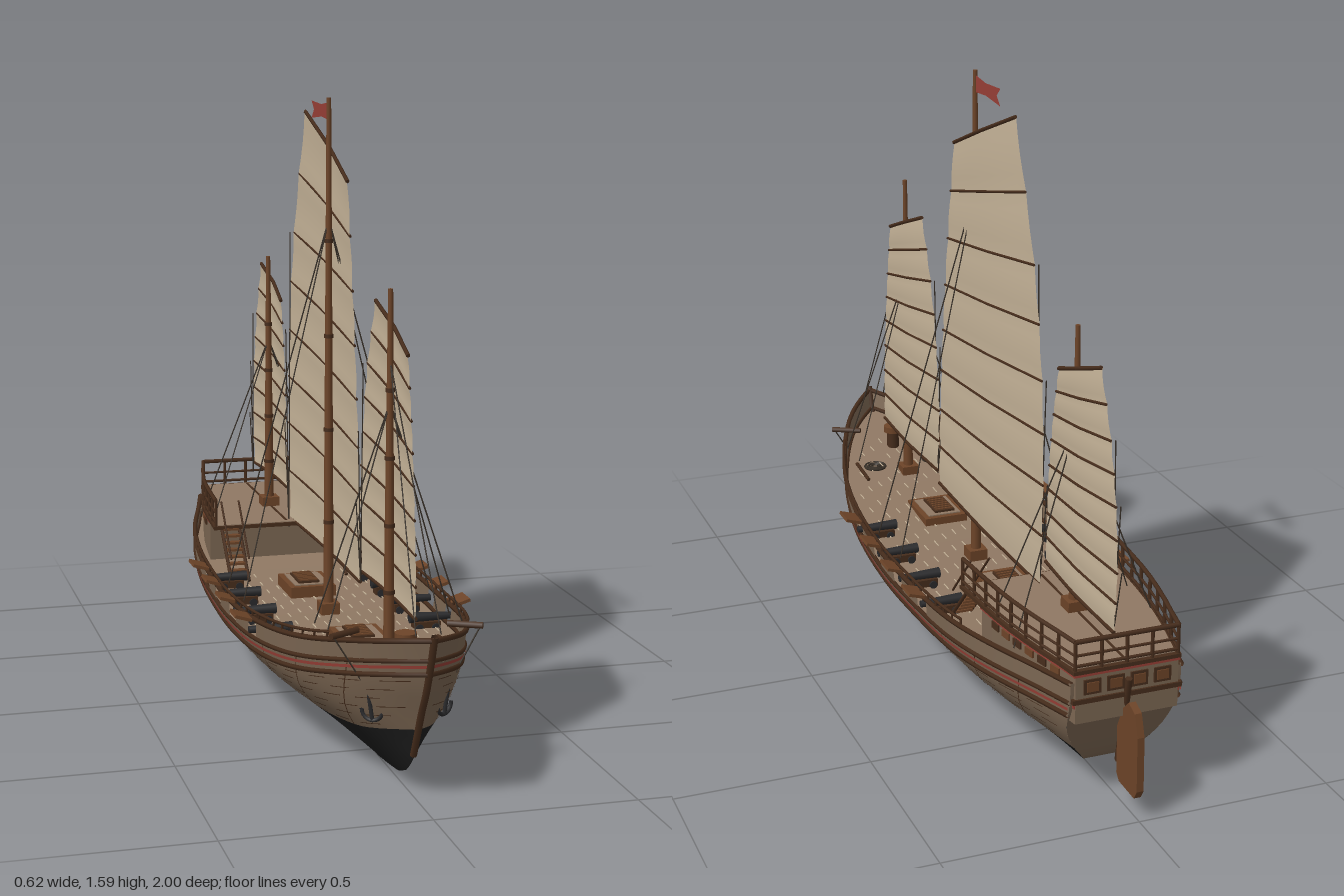
import * as THREE from 'three';

const D = THREE.DoubleSide;
const mat = (name, color) => {
  const m = new THREE.MeshStandardMaterial({ color, side: D });
  m.name = name;
  return m;
};
const M = {
  hull: mat('weathered planking', 0x7b6652), deck: mat('deck planking', 0x8f7863),
  dark: mat('dark timber', 0x472d1c), brown: mat('brown timber', 0x6d4428),
  tar: mat('tarred bottom', 0x1d1d1d), sail: mat('sail cloth', 0xc4b297),
  red: mat('red paint', 0x983f36), rope: mat('rope', 0x383028), iron: mat('iron', 0x2a2a2c),
};

// Smooth interpolation through [key, value] pairs
const curve = (...p) => (t) => {
  let i = 0;
  while (i < p.length - 2 && t > p[i + 1][0]) i++;
  const slope = (k) => {
    const a = p[Math.max(k - 1, 0)], b = p[Math.min(k + 1, p.length - 1)];
    return (b[1] - a[1]) / (b[0] - a[0]);
  };
  const [x0, y0] = p[i], [x1, y1] = p[i + 1], h = x1 - x0;
  const s = THREE.MathUtils.clamp((t - x0) / h, 0, 1), s2 = s * s, s3 = s2 * s;
  return (2 * s3 - 3 * s2 + 1) * y0 + (s3 - 2 * s2 + s) * h * slope(i)
    + (3 * s2 - 2 * s3) * y1 + (s3 - s2) * h * slope(i + 1);
};

// Hull lines: u runs 0 (stern) to 1 (bow), y is height
const stemZ = curve([0, 0.55], [0.02, 0.72], [0.07, 0.82], [0.15, 0.87], [0.22, 0.905], [0.3, 0.95], [0.43, 1]);
const sternZ = curve([0, -0.4], [0.02, -0.63], [0.07, -0.79], [0.13, -0.84], [0.2, -0.872], [0.28, -0.905], [0.4, -0.912]);
const beam = curve([0, 0.142], [0.06, 0.17], [0.166, 0.222], [0.273, 0.252], [0.43, 0.27], [0.54, 0.272],
  [0.7, 0.25], [0.807, 0.207], [0.914, 0.127], [0.97, 0.055], [1, 0]);
const section = curve([0, 0], [0.035, 0.2], [0.095, 0.5], [0.15, 0.78], [0.2, 0.94], [0.26, 1], [0.34, 1], [0.45, 1]);
const sheer = curve([0, 0.345], [0.15, 0.325], [0.3, 0.3], [0.45, 0.295], [0.6, 0.297], [0.7, 0.31], [0.807, 0.335], [0.914, 0.38], [1, 0.42]);
const water = curve([0, 0.135], [0.2, 0.115], [0.7, 0.115], [0.9, 0.135], [1, 0.175]);
const below = (d) => (u) => sheer(u) - d;
const deckY = below(0.06);
const uAt = (z, y) => (z - sternZ(y)) / (stemZ(y) - sternZ(y));
const P = (u, y, side, off = 0) => new THREE.Vector3(
  side * (beam(u) * section(y) + off), y, THREE.MathUtils.lerp(sternZ(y), stemZ(y), u));

// Surface from a grid of points
function grid(fn, nu, nv, flip) {
  const pos = [], idx = [];
  for (let i = 0; i <= nu; i++) for (let j = 0; j <= nv; j++) pos.push(...fn(i / nu, j / nv).toArray());
  for (let i = 0; i < nu; i++) for (let j = 0; j < nv; j++) {
    const a = i * (nv + 1) + j, b = a + 1, c = a + nv + 1, d = c + 1;
    if (flip) idx.push(a, b, c, b, d, c); else idx.push(a, c, b, b, c, d);
  }
  const g = new THREE.BufferGeometry();
  g.setAttribute('position', new THREE.Float32BufferAttribute(pos, 3));
  g.setIndex(idx);
  g.computeVertexNormals();
  return g;
}

export function createModel() {
  const root = new THREE.Group();
  root.name = 'junkShip';
  const add = (name, geo, m, x = 0, y = 0, z = 0) => {
    const o = new THREE.Mesh(geo, m);
    o.name = name;
    o.position.set(x, y, z);
    root.add(o);
    return o;
  };
  const box = (name, w, h, d, m, x, y, z) => add(name, new THREE.BoxGeometry(w, h, d), m, x, y, z);
  const V = (x, y, z) => new THREE.Vector3(x, y, z);
  const rod = (name, a, b, r, m, r2 = r, n = 6) => {
    const o = add(name, new THREE.CylinderGeometry(r2, r, a.distanceTo(b), n), m);
    o.position.copy(a).lerp(b, 0.5);
    o.quaternion.setFromUnitVectors(V(0, 1, 0), b.clone().sub(a).normalize());
    return o;
  };
  const band = (name, lo, hi, m, side, u0 = 0, u1 = 1, nu = 60, nv = 1, off = 0) =>
    add(name, grid((a, b) => {
      const u = u0 + (u1 - u0) * a;
      return P(u, lo(u) + (hi(u) - lo(u)) * b, side, off);
    }, nu, nv, side > 0), m);
  const rail = (name, yf, r, m, side, u0 = 0, u1 = 1, off = 0) => {
    const pts = Array.from({ length: 31 }, (_, i) => u0 + (u1 - u0) * i / 30).map((u) => P(u, yf(u), side, off));
    add(name, new THREE.TubeGeometry(new THREE.CatmullRomCurve3(pts), 60, r, 5), m);
  };

  const portZ = [-0.225, -0.055, 0.12, 0.298];
  for (const s of [1, -1]) {
    // Hull planking, bottom and bulwark with open gun ports
    band('hullBottom', () => 0, water, M.tar, s, 0, 1, 60, 8);
    band('hullSide', water, below(0.05), M.hull, s, 0, 1, 60, 6);
    const cuts = [0, ...portZ.flatMap((z) => [uAt(z - 0.03, 0.27), uAt(z + 0.03, 0.27)]), 1];
    for (let i = 0; i < cuts.length; i += 2) band('bulwark', below(0.05), sheer, M.hull, s, cuts[i], cuts[i + 1], 16);
    // Rails, wales and painted stripe
    rail('gunwale', sheer, 0.007, M.dark, s);
    rail('upperWale', below(0.052), 0.006, M.dark, s);
    rail('lowerWale', below(0.088), 0.007, M.dark, s);
    rail('topRail', (u) => sheer(u) + 0.02, 0.004, M.dark, s, 0.24, 0.86);
    band('redStripe', below(0.072), below(0.064), M.red, s, 0, 1, 60, 1, 0.004);
    for (let i = 0; i <= 24; i++) {
      const u = 0.24 + i * 0.0258;
      rod('railPost', P(u, sheer(u), s), P(u, sheer(u) + 0.02, s), 0.003, M.dark);
    }
    // Broken plank seams and hull ribs
    for (let k = 0; k < 6; k++) for (let i = 0; i < 16; i++) {
      const u0 = 0.02 + i * 0.06 + (k % 3) * 0.015;
      const y = (u) => THREE.MathUtils.lerp(water(u), sheer(u) - 0.095, (k + 0.5) / 6);
      band('plankSeam', y, (u) => y(u) + 0.002, M.dark, s, u0, Math.min(u0 + 0.034, 0.99), 3, 1, 0.002);
    }
    for (let i = 1; i < 10; i++) band('hullRib', water, below(0.05), M.dark, s, i / 10, i / 10 + 0.0018, 1, 6, 0.0025);

    // Gun ports with lids, guns and carriages
    for (const z of portZ) {
      const lid = box('portLid', 0.045, 0.008, 0.065, M.brown, s * 0.288, 0.309, z);
      lid.rotation.z = s * 0.3;
      box('gunCarriage', 0.07, 0.02, 0.034, M.dark, s * 0.2, 0.25, z);
      rod('gunBarrel', V(s * 0.155, 0.27, z), V(s * 0.268, 0.27, z), 0.014, M.iron, 0.009, 10);
      for (const dx of [-0.022, 0.022]) for (const dz of [-0.018, 0.018])
        rod('gunWheel', V(s * 0.2 + dx, 0.245, z + dz - 0.003), V(s * 0.2 + dx, 0.245, z + dz + 0.003), 0.011, M.iron, 0.011, 10);
    }
    // Stairs to the poop
    for (let i = 0; i < 8; i++) box('stairTread', 0.045, 0.006, 0.02, M.brown, s * 0.165, 0.255 + i * 0.016, -0.265 - i * 0.016);
    for (const x of [0.14, 0.19]) {
      rod('stairString', V(s * x, 0.245, -0.255), V(s * x, 0.375, -0.385), 0.005, M.dark);
      rod('stairRail', V(s * x, 0.31, -0.255), V(s * x, 0.445, -0.385), 0.003, M.dark);
    }
    // Catheads, anchors, rope coils and pin bars at the bow
    rod('cathead', V(s * 0.11, 0.385, 0.75), V(s * 0.185, 0.385, 0.79), 0.008, M.dark);
    const a = P(uAt(0.8, 0.18), 0.18, s, 0.015);
    rod('anchorShank', a, V(a.x + s * 0.01, 0.25, 0.8), 0.005, M.iron);
    rod('anchorRope', V(a.x + s * 0.01, 0.25, 0.8), V(s * 0.18, 0.385, 0.788), 0.002, M.rope);
    const fluke = add('anchorArms', new THREE.TorusGeometry(0.026, 0.005, 6, 12, Math.PI), M.iron, a.x, 0.205, 0.8);
    fluke.rotation.set(0, 0.6 * s, Math.PI);
    for (const r of [0.012, 0.021, 0.03]) {
      const coil = add('ropeCoil', new THREE.TorusGeometry(r, 0.004, 5, 16), M.rope, s * 0.09, 0.296, 0.675);
      coil.rotation.x = Math.PI / 2;
    }
    rod('pinBar', V(s * 0.145, 0.3, 0.57), V(s * 0.145, 0.31, 0.68), 0.005, M.dark);
  }

  // Main deck with pale caulking dashes, transom and stem
  add('mainDeck', grid((a, b) => {
    const p = P(a, deckY(a), 1);
    return p.setX(p.x * (2 * b - 1));
  }, 50, 8, true), M.deck);
  add('transom', grid((a, b) => {
    const p = P(0, sheer(0) * a, 1);
    return p.setX(p.x * (2 * b - 1));
  }, 14, 2, false), M.hull);
  for (let k = -6; k <= 6; k++) for (let i = 0; i < 15; i++) {
    const z = -0.33 + i * 0.08 + (((k + 6) * 5) % 7) * 0.009, u = uAt(z, 0.25);
    if (Math.abs(k * 0.036) < beam(u) - 0.03) box('deckSeam', 0.0025, 0.002, 0.035, M.sail, k * 0.036, deckY(u) + 0.002, z);
  }
  add('stem', new THREE.TubeGeometry(new THREE.CatmullRomCurve3(
    [0.1, 0.16, 0.22, 0.28, 0.35, 0.43].map((y) => V(0, y, stemZ(y) - 0.003))), 20, 0.009, 6), M.dark);

  // Poop house and overhanging deck
  const plan = (z0, z1, grow) => {
    const w = curve([-0.905, 0.132], [-0.75, 0.166], [-0.6, 0.19], [-0.37, 0.208]), pts = [];
    for (let i = 0; i <= 8; i++) {
      const z = z0 + (z1 - z0) * i / 8;
      pts.push([w(z) + grow, z]);
    }
    return pts;
  };
  const slab = (name, pts, y, h, m) => {
    const sh = new THREE.Shape([...pts.map(([x, z]) => new THREE.Vector2(x, -z)),
      ...pts.slice().reverse().map(([x, z]) => new THREE.Vector2(-x, -z))]);
    const g = new THREE.ExtrudeGeometry(sh, { depth: h, bevelEnabled: false });
    g.rotateX(-Math.PI / 2);
    add(name, g, m, 0, y, 0);
  };
  slab('poopHouse', plan(-0.49, -0.916, 0), 0.24, 0.125, M.hull);
  slab('poopTrim', plan(-0.485, -0.918, 0.004), 0.361, 0.006, M.red);
  slab('poopEdge', plan(-0.37, -0.918, 0.006), 0.367, 0.01, M.dark);
  slab('poopDeck', plan(-0.376, -0.905, -0.004), 0.376, 0.003, M.deck);
  box('poopSeam', 0.006, 0.002, 0.5, M.dark, 0, 0.38, -0.64);
  const edge = plan(-0.375, -0.912, 0);
  const left = edge.map(([x, z]) => [x, z]), right = edge.map(([x, z]) => [-x, z]).reverse();
  const loop = [...left, [0.065, -0.912], [0, -0.912], [-0.065, -0.912], ...right];
  loop.forEach(([x, z], i) => {
    rod('poopPost', V(x, 0.375, z), V(x, 0.452, z), 0.0045, M.dark);
    if (i) for (const [y, r] of [[0.45, 0.006], [0.415, 0.0035], [0.388, 0.004]])
      rod('poopRail', V(loop[i - 1][0], y, loop[i - 1][1]), V(x, y, z), r, M.dark);
  });
  // Poop windows
  for (const s of [1, -1]) for (const i of [1, 2, 3, 4, 5, 6]) {
    const pts = plan(-0.49, -0.916, 0.002), [x, z] = pts[i], [x2, z2] = pts[i + 1];
    const w = box('sideWindow', 0.006, 0.018, 0.034, i % 2 ? M.dark : M.brown, s * (x + x2) / 2, 0.349, (z + z2) / 2);
    w.rotation.y = s * Math.atan2(x - x2, z - z2);
  }
  for (const x of [-0.09, -0.03, 0.03, 0.09]) {
    box('sternWindowFrame', 0.044, 0.038, 0.006, M.dark, x, 0.333, -0.917);
    box('sternWindowPane', 0.03, 0.024, 0.006, M.brown, x, 0.333, -0.9195);
  }
  box('sternBeam', 0.28, 0.012, 0.014, M.dark, 0, 0.298, -0.914);
  box('sternStripe', 0.272, 0.008, 0.008, M.red, 0, 0.284, -0.911);

  // Rudder
  const blade = new THREE.Shape([[0.885, 0.075], [0.9, 0.058], [0.985, 0.056], [1, 0.08], [0.998, 0.22], [0.98, 0.275],
    [0.945, 0.288], [0.915, 0.26], [0.885, 0.2]].map(([z, y]) => new THREE.Vector2(z, y)));
  const rg = new THREE.ExtrudeGeometry(blade, { depth: 0.018, bevelEnabled: false });
  rg.rotateY(Math.PI / 2);
  add('rudder', rg, M.brown, -0.009).geometry.scale(1, 1, 1);
  rod('rudderStock', V(0, 0.1, -0.875), V(0, 0.34, -0.925), 0.009, M.dark);

  // Hatches with gratings, and a capstan
  for (const [z, y] of [[-0.16, 0.25], [0.385, 0.25]]) {
    box('hatchCoaming', 0.125, 0.03, 0.155, M.brown, 0, y, z);
    box('hatchOpening', 0.095, 0.004, 0.125, M.deck, 0, y + 0.016, z);
    box('hatchGrating', 0.058, 0.02, 0.1, M.dark, -0.005, y + 0.014, z);
    for (let i = -3; i <= 3; i++) box('gratingBar', 0.05, 0.004, 0.005, M.brown, -0.005, y + 0.025, z + i * 0.014);
  }
  rod('capstan', V(0, 0.3, 0.775), V(0, 0.365, 0.775), 0.018, M.dark, 0.018, 12);
  rod('capstanHead', V(0, 0.36, 0.775), V(0, 0.378, 0.775), 0.027, M.brown, 0.027, 12);

  // Masts, sails and rigging; edges listed foot to head as [z, y]
  const rigs = [
    { z: 0.635, base: 0.27, top: 1.17, hang: 0.9, foot: 0.17, spread: 0.055, n: 8,
      luff: [[0.775, 0.407], [0.77, 0.56], [0.752, 0.72], [0.73, 0.87], [0.7, 1.02]],
      leech: [[0.314, 0.407], [0.298, 0.59], [0.318, 0.77], [0.36, 0.95], [0.426, 1.115]] },
    { z: 0.075, base: 0.23, top: 1.59, hang: 1.28, foot: 0.25, spread: 0.09, n: 8,
      luff: [[0.298, 0.375], [0.285, 0.6], [0.26, 0.84], [0.22, 1.11], [0.169, 1.383]],
      leech: [[-0.437, 0.375], [-0.453, 0.65], [-0.44, 0.92], [-0.385, 1.2], [-0.26, 1.539]] },
    { z: -0.6, base: 0.37, top: 1.11, hang: 0.87, foot: 0.19, spread: 0.075, n: 8,
      luff: [[-0.475, 0.456], [-0.482, 0.59], [-0.492, 0.72], [-0.515, 0.86], [-0.544, 0.987]],
      leech: [[-0.887, 0.445], [-0.899, 0.6], [-0.885, 0.76], [-0.85, 0.91], [-0.79, 1.067]] },
  ];
  for (const r of rigs) {
    const [luff, leech] = [r.luff, r.leech].map((e) => new THREE.CatmullRomCurve3(e.map(([z, y]) => V(0.022, y, z))));
    add('sail', grid((a, b) => {
      const p = luff.getPoint(b).lerp(leech.getPoint(b), a);
      p.x += 0.007 * Math.sin(Math.PI * a) + 0.003 * Math.abs(Math.sin(Math.PI * b * r.n));
      return p;
    }, 12, r.n * 4, true), M.sail);
    for (let i = 0; i <= r.n; i++) {
      const a = luff.getPoint(i / r.n), b = leech.getPoint(i / r.n), m = a.clone().lerp(b, 0.5);
      a.x += 0.002; b.x += 0.002; m.x += 0.009;
      const ends = i === 0 || i === r.n;
      rod('batten', a, m, ends ? 0.005 : 0.0035, M.dark);
      rod('batten', m, b, ends ? 0.005 : 0.0035, M.dark);
    }
    rod('mast', V(0, r.base, r.z), V(0, r.top, r.z), 0.014, M.brown, 0.006, 10);
    box('mastPartner', 0.05, 0.03, 0.05, M.brown, 0, r.base + 0.02, r.z);
    for (let i = 1; i < 5; i++) {
      const y = r.base + (r.top - r.base) * i / 5.5;
      rod('mastBand', V(0, y, r.z), V(0, y + 0.01, r.z), 0.015 - i * 0.001, M.dark, 0.015 - i * 0.001, 10);
    }
    for (const s of [1, -1]) for (const d of [-1, 1])
      rod('shroud', V(0, r.hang, r.z), V(s * r.foot, sheer(uAt(r.z, 0.3)) + 0.015, r.z + d * r.spread), 0.0018, M.rope);
    const foot = leech.getPoint(0);
    for (const v of [0.25, 0.5, 0.75]) rod('sheet', V(0.012, foot.y - 0.02, foot.z + 0.03), leech.getPoint(v).setX(0.012), 0.0015, M.rope);
  }
  for (const s of [1, -1]) rod('forestay', V(0, 1, 0.635), V(s * 0.03, 0.42, 0.95), 0.0016, M.rope);

  // Swallow-tailed pennant
  const flag = new THREE.Shape([[-0.075, 1.533], [-0.075, 1.578], [0.0, 1.57], [0.1, 1.575], [0.075, 1.553], [0.1, 1.53], [0.0, 1.538]]
    .map(([z, y]) => new THREE.Vector2(z, y)));
  const fg = new THREE.ShapeGeometry(flag);
  fg.rotateY(Math.PI / 2);
  add('pennant', fg, M.red);
  return root;
}
